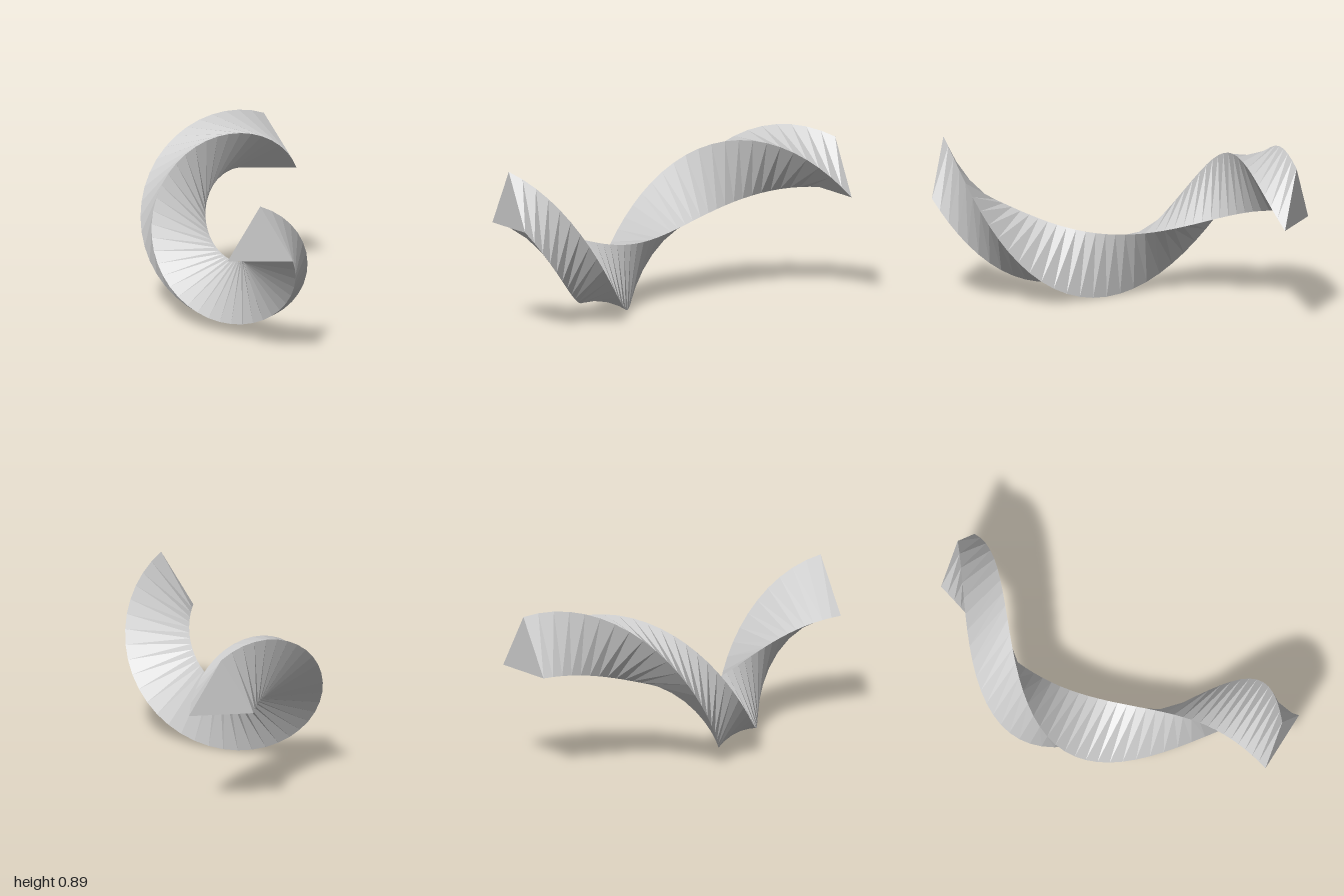
import * as THREE from 'three';

const SLICES = 40;     // steps along the length
const CENTRE_Y = 0.447; // height of the twist axis

// Off-axis equilateral triangle, counter-clockwise from the front
const profile = [90, 210, 330].map((deg) => {
  const a = THREE.MathUtils.degToRad(deg);
  return new THREE.Vector2(0.2 + 0.2 * Math.cos(a), 0.2 + 0.2 * Math.sin(a));
});

// Profile corner i at slice s: one full clockwise turn from front to back
function corner(s, i) {
  const t = s / SLICES;
  const p = profile[i % 3].clone().rotateAround(new THREE.Vector2(), -2 * Math.PI * t);
  return new THREE.Vector3(p.x, p.y + CENTRE_Y, 1 - 2 * t);
}

export function createModel() {
  const points = [];

  // Twisted sides, each quad split along its shorter diagonal
  for (let s = 0; s < SLICES; s++) {
    for (let i = 0; i < 3; i++) {
      const a = corner(s, i), b = corner(s, i + 1);
      const d = corner(s + 1, i), c = corner(s + 1, i + 1);
      if (a.distanceTo(c) < b.distanceTo(d)) points.push(a, d, c, a, c, b);
      else points.push(a, d, b, d, c, b);
    }
  }

  // Flat end caps
  points.push(corner(0, 0), corner(0, 1), corner(0, 2));
  points.push(corner(SLICES, 2), corner(SLICES, 1), corner(SLICES, 0));

  const geometry = new THREE.BufferGeometry().setFromPoints(points);
  geometry.computeVertexNormals();

  const bar = new THREE.Mesh(
    geometry,
    new THREE.MeshStandardMaterial({ color: 0xcccccc, flatShading: true })
  );
  bar.name = 'twistedTriangularBar';

  const group = new THREE.Group();
  group.name = 'twistedBar';
  group.add(bar);
  return group;
}
